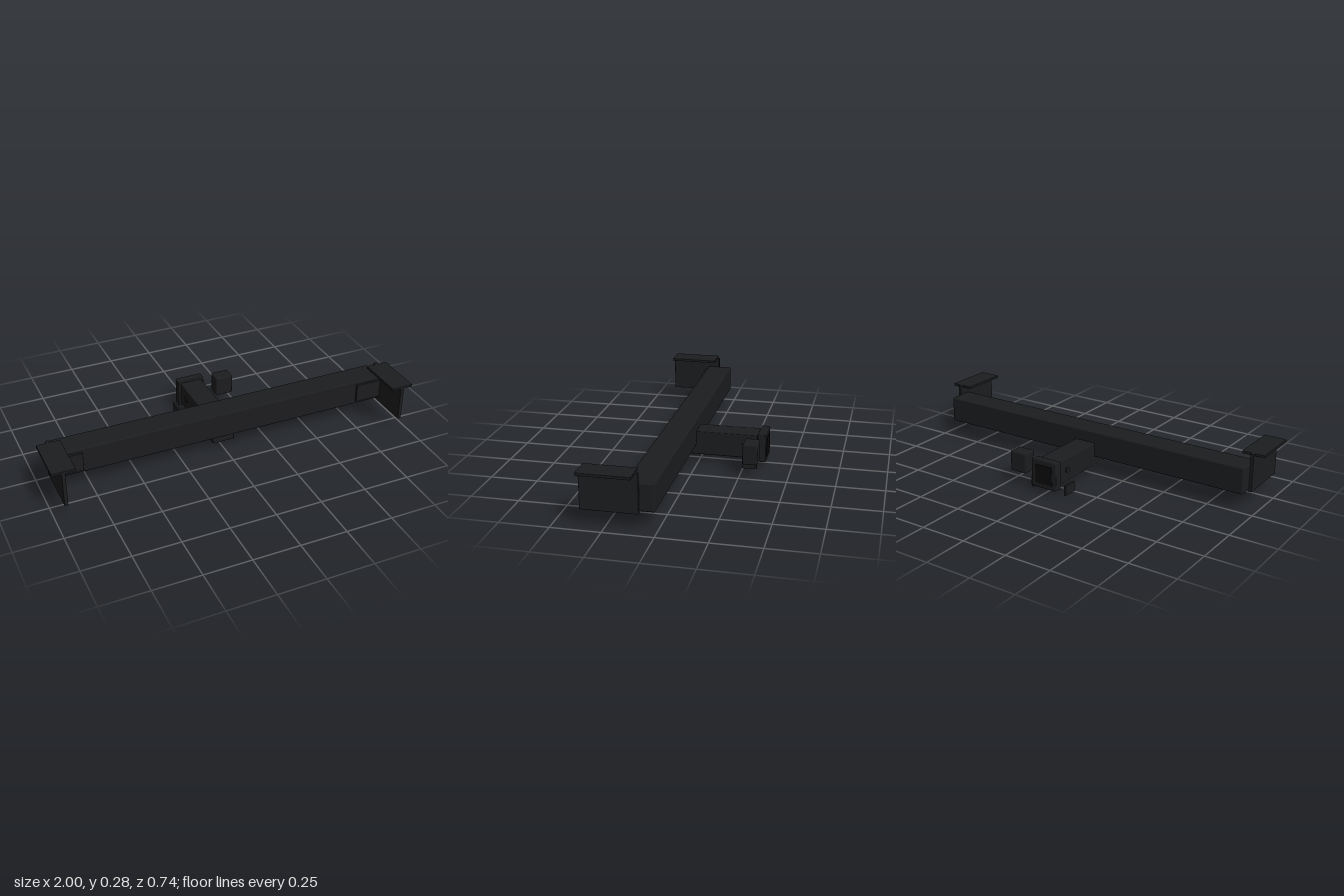
import * as THREE from 'three';
import { RoundedBoxGeometry } from 'three/addons/geometries/RoundedBoxGeometry.js';

export function createModel() {
  const model = new THREE.Group();
  model.name = 'towHitch';
  const steel = new THREE.MeshStandardMaterial({ color: 0x1c1d1f });
  const black = new THREE.MeshStandardMaterial({ color: 0x0a0a0a });

  // Softly rounded block given by its [min, max] extents
  function block(name, [x0, x1], [y0, y1], [z0, z1], radius = 0.003, material = steel) {
    const geometry = new RoundedBoxGeometry(x1 - x0, y1 - y0, z1 - z0, 2, radius);
    const mesh = new THREE.Mesh(geometry, material);
    mesh.position.set((x0 + x1) / 2, (y0 + y1) / 2, (z0 + z1) / 2);
    mesh.name = name;
    model.add(mesh);
    return mesh;
  }

  // Main tube across the vehicle
  block('crossBeam', [-0.935, 0.935], [0.091, 0.233], [0.012, 0.152], 0.008);

  // Receiver tube with its reinforced mouth and dark opening
  block('receiverTube', [-0.062, 0.062], [0.041, 0.17], [-0.36, 0.124], 0.005);
  block('receiverCollar', [-0.076, 0.076], [0.029, 0.181], [-0.365, -0.319], 0.005);
  block('receiverOpening', [-0.051, 0.051], [0.054, 0.156], [-0.368, -0.34], 0.001, black);

  // Hitch pin through the receiver
  const pin = new THREE.Mesh(new THREE.CylinderGeometry(0.016, 0.016, 0.134, 24), steel);
  pin.name = 'hitchPin';
  pin.rotation.z = Math.PI / 2;
  pin.position.set(0, 0.106, -0.243);
  model.add(pin);

  // Wiring socket on the left of the receiver
  block('wiringSocket', [0.132, 0.231], [0.07, 0.181], [-0.343, -0.266], 0.008);

  // Mirrored brackets, reinforcing plates and chain tabs
  for (const side of [1, -1]) {
    const span = (a, b) => (side > 0 ? [a, b] : [-b, -a]);
    const label = side > 0 ? 'left' : 'right';
    block(label + 'MountPlate', span(0.931, 0.95), [0.082, 0.284], [0.085, 0.368], 0.002);
    block(label + 'MountFlange', span(0.878, 1), [0.27, 0.284], [0.104, 0.368], 0.002);
    block(label + 'GussetPlate', span(0.785, 0.94), [0.113, 0.217], [0.154, 0.168], 0.002);
    block(label + 'ChainTab', span(0.097, 0.11), [0, 0.054], [-0.324, -0.244], 0.002);
  }
  return model;
}
